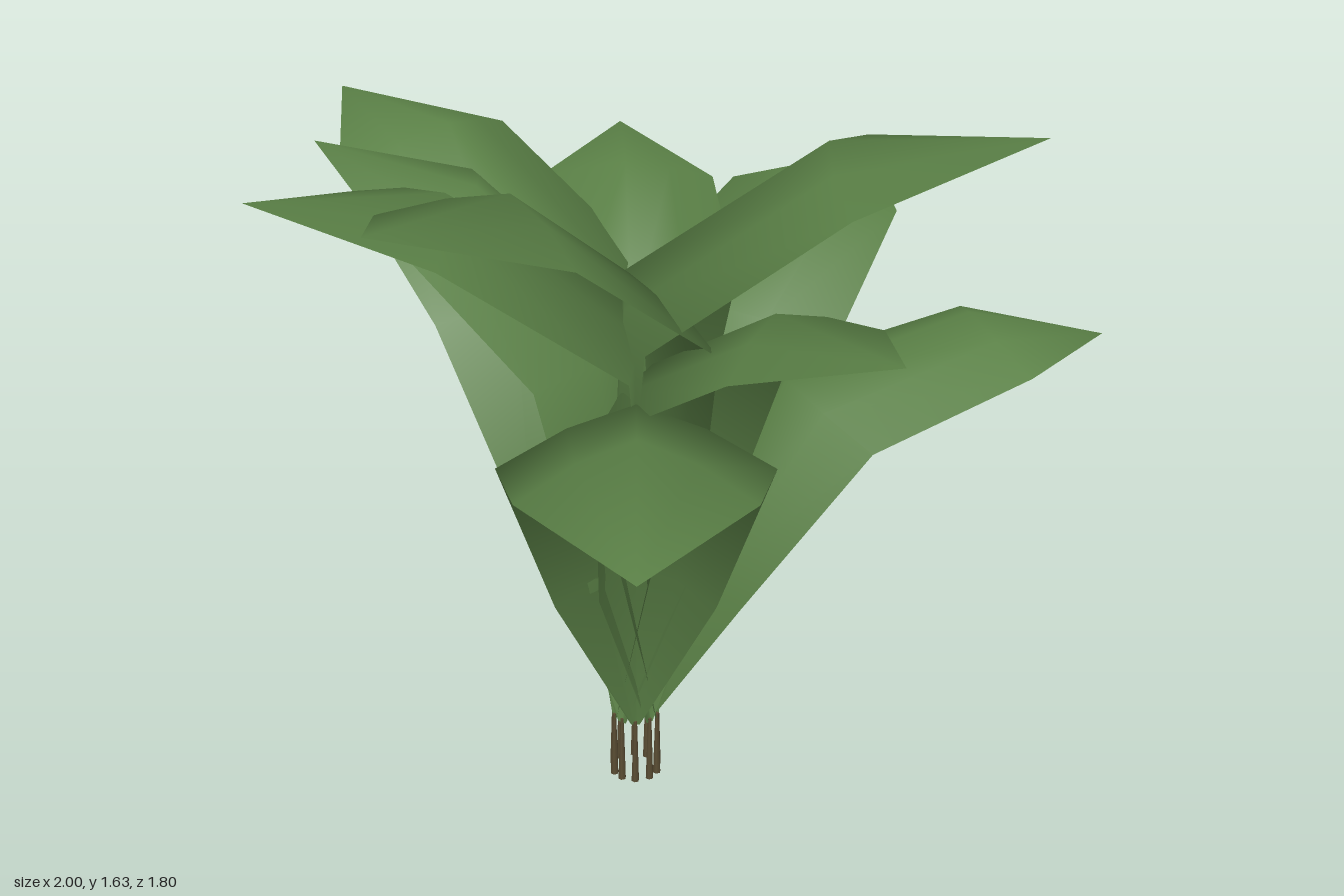
import * as THREE from 'three';

// Plant centre at the top of the stalks
const CROWN = new THREE.Vector3(-0.105, 0.15, 0.11);
const UP = new THREE.Vector3(0, 1, 0);

// Leaf tips
const TIPS = [
  [0.145, 1.63, 0.9], [-0.29, 1.31, 0.88], [-1, 1.16, 0.82], [-0.94, 1.59, 0.16], [-0.84, 1.52, -0.25],
  [-0.33, 1.42, -0.58], [0.08, 1.36, -0.905], [0.64, 1.2, -0.53], [1, 1.13, -0.05], [0.795, 0.94, 0.72],
];

// Cross-sections as fractions of the base-to-tip length:
// rib along, rib height, edge along, edge height, half width
const ROWS = [
  [0, 0, 0, 0, 0.006],
  [0.235, 0.175, 0.255, 0.11, 0.112],
  [0.545, 0.325, 0.575, 0.232, 0.18],
  [0.844, 0.203, 0.848, 0.124, 0.143],
];
const COLUMNS = [-1, -0.5, 0, 0.5, 1];

// One arched blade bending from the crown out to its tip
function leafGeometry(tip, root) {
  const chord = tip.clone().sub(CROWN);
  const length = chord.length();
  const along = chord.clone().normalize();
  const side = new THREE.Vector3().crossVectors(along, UP).normalize();
  const normal = new THREE.Vector3().crossVectors(side, along);
  const positions = [], index = [];
  ROWS.forEach(([ribA, ribH, edgeA, edgeH, half], row) => {
    for (const u of COLUMNS) {
      const t = Math.pow(Math.abs(u), 1.4);
      const p = (row === 0 ? root : CROWN).clone()
        .addScaledVector(along, length * THREE.MathUtils.lerp(ribA, edgeA, t))
        .addScaledVector(normal, length * THREE.MathUtils.lerp(ribH, edgeH, t))
        .addScaledVector(side, length * half * u);
      positions.push(p.x, p.y, p.z);
    }
  });
  positions.push(tip.x, tip.y, tip.z);
  const n = COLUMNS.length, last = ROWS.length - 1;
  for (let c = 0; c < n - 1; c++) {
    for (let r = 0; r < last; r++) {
      const a = r * n + c, b = a + 1, d = a + n, e = d + 1;
      index.push(a, b, e, a, e, d);
    }
    index.push(last * n + c, last * n + c + 1, (last + 1) * n);
  }
  const geometry = new THREE.BufferGeometry();
  geometry.setAttribute('position', new THREE.Float32BufferAttribute(positions, 3));
  geometry.setIndex(index);
  geometry.computeVertexNormals();
  return geometry;
}

export function createModel() {
  const model = new THREE.Group();
  model.name = 'leafyPlant';
  const green = new THREE.MeshStandardMaterial({ color: 0x5a8046, side: THREE.DoubleSide });
  green.name = 'leafGreen';
  const brown = new THREE.MeshStandardMaterial({ color: 0x5b4e34 });
  brown.name = 'stalkBrown';
  const stalkGeometry = new THREE.CylinderGeometry(0.004, 0.009, 0.16, 6);

  TIPS.forEach((coords, i) => {
    const tip = new THREE.Vector3(...coords);
    // Each leaf grows from its own stalk in a small ring
    const out = tip.clone().sub(CROWN).setY(0).normalize();
    const root = CROWN.clone().addScaledVector(out, 0.052);

    const leaf = new THREE.Mesh(leafGeometry(tip, root), green);
    leaf.name = `leaf${i + 1}`;

    const stalk = new THREE.Mesh(stalkGeometry, brown);
    stalk.name = `stalk${i + 1}`;
    stalk.position.set(root.x, 0.08, root.z);
    model.add(leaf, stalk);
  });
  return model;
}
